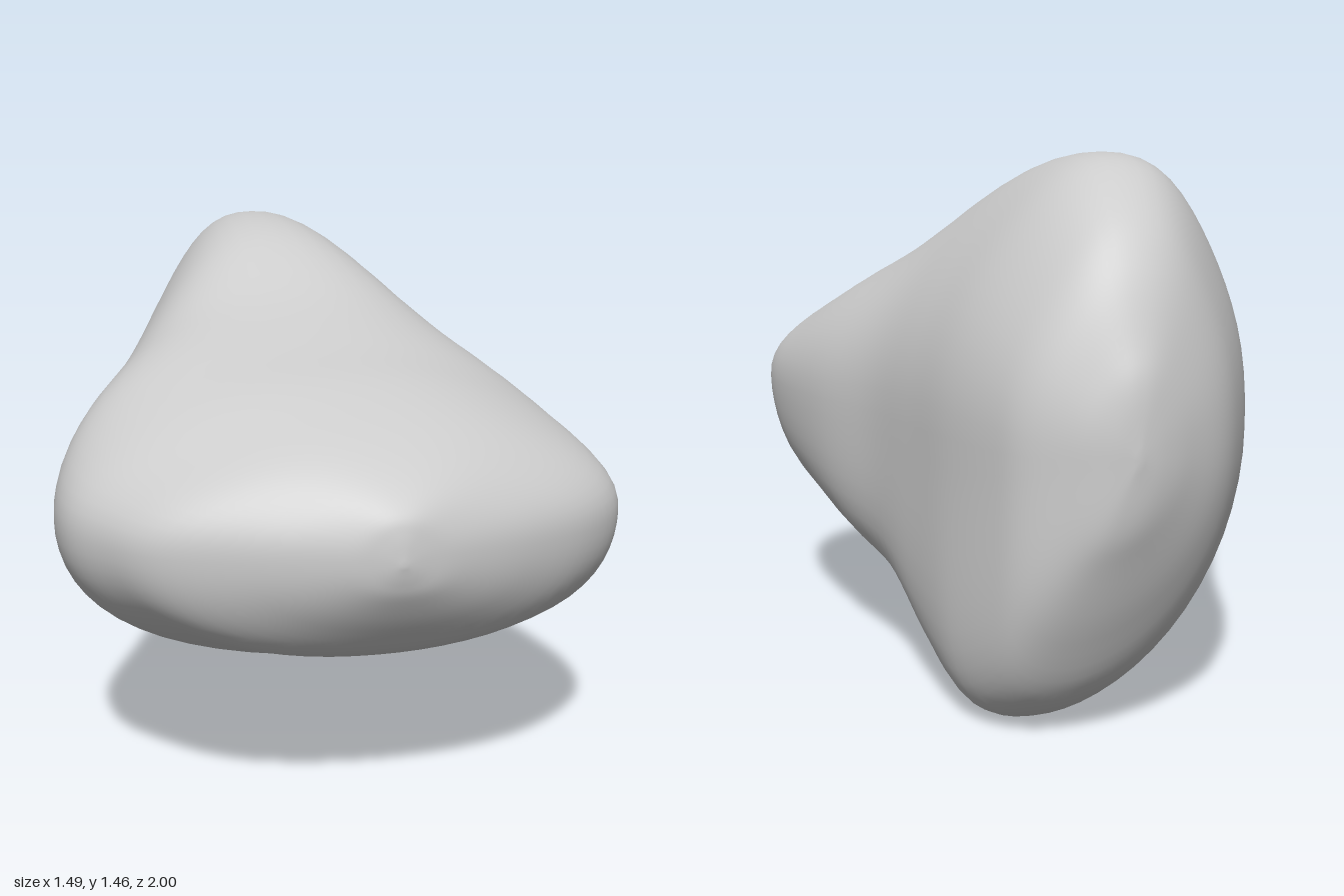
import * as THREE from 'three';
import { mergeVertices } from 'three/addons/utils/BufferGeometryUtils.js';

// Stone extents along its depth: [z, xMin, xMax, yMin, yMax]
const SECTIONS = [
  [-1.00, 0.04, 0.04, 0.75, 0.75],
  [-0.985, -0.03, 0.11, 0.59, 0.91],
  [-0.95, -0.11, 0.19, 0.47, 1.02],
  [-0.88, -0.22, 0.29, 0.28, 1.19],
  [-0.78, -0.30, 0.35, 0.10, 1.32],
  [-0.60, -0.395, 0.42, 0.00, 1.435],
  [-0.38, -0.465, 0.475, 0.05, 1.455],
  [-0.15, -0.54, 0.54, 0.165, 1.405],
  [0.10, -0.635, 0.65, 0.235, 1.265],
  [0.35, -0.735, 0.72, 0.31, 1.17],
  [0.55, -0.73, 0.74, 0.37, 1.11],
  [0.70, -0.64, 0.70, 0.42, 1.05],
  [0.82, -0.52, 0.57, 0.465, 0.99],
  [0.91, -0.31, 0.38, 0.56, 0.93],
  [0.97, -0.12, 0.19, 0.65, 0.87],
  [0.99, -0.03, 0.09, 0.70, 0.82],
  [1.00, 0.03, 0.03, 0.75, 0.75],
];
const RINGS = 80, SIDES = 64;

function createStoneGeometry() {
  const spline = (a, b) => new THREE.CatmullRomCurve3(
    SECTIONS.map(s => new THREE.Vector3(s[0], s[a], s[b])), false, 'catmullrom', 0.5);
  const widths = spline(1, 2), heights = spline(3, 4);
  const positions = [], index = [];

  for (let i = 0; i <= RINGS; i++) {
    const w = widths.getPoint(i / RINGS), h = heights.getPoint(i / RINGS);
    const z = w.x, cx = (w.y + w.z) / 2, rx = (w.z - w.y) / 2;
    const cy = THREE.MathUtils.clamp(0.75, h.y, h.z);
    const back = 1 - THREE.MathUtils.smoothstep(z, -0.5, 0.4);
    const front = THREE.MathUtils.smoothstep(z, 0.4, 0.8);
    const shoulder = Math.exp(-(((z - 0.25) / 0.25) ** 2));
    for (let j = 0; j < SIDES; j++) {
      const a = j / SIDES * Math.PI * 2, c = Math.cos(a), s = Math.sin(a);
      // Lean upper faces with fuller shoulders midway, and a full lower left flank
      const side = 2 * Math.abs(c * s);
      const upper = -0.35 + shoulder * (c < 0 ? 0.65 : 0.2);
      const lower = c > 0 ? 0.8 * (1 - back) * (1 - front) + 0.1 : 0.1 - 0.1 * front;
      const n = 2.15 + side * (s > 0 ? upper : lower);
      const r = Math.pow(Math.pow(Math.abs(c), n) + Math.pow(Math.abs(s), n), -1 / n);
      const u = c * r, v = s * r;
      // The foot of the upright back ridge leans sideways
      const lean = back * v * v * (v < 0 ? 0.2 : -0.05) * Math.min(1, rx / 0.4);
      positions.push(cx + u * rx + lean, cy + v * (v > 0 ? h.z - cy : cy - h.y), z);
    }
  }
  for (let i = 0; i < RINGS; i++) {
    for (let j = 0; j < SIDES; j++) {
      const k = (j + 1) % SIDES;
      const a = i * SIDES + j, b = i * SIDES + k, c = b + SIDES, d = a + SIDES;
      // The first and last rings shrink to points, leaving one triangle per side
      if (i < RINGS - 1) index.push(a, c, d);
      if (i > 0) index.push(a, b, c);
    }
  }
  const geometry = new THREE.BufferGeometry();
  geometry.setAttribute('position', new THREE.Float32BufferAttribute(positions, 3));
  geometry.setIndex(index);
  const welded = mergeVertices(geometry, 1e-4);
  welded.computeVertexNormals();
  return welded;
}

export function createModel() {
  const group = new THREE.Group();
  group.name = 'rock';
  const stone = new THREE.Mesh(createStoneGeometry(),
    new THREE.MeshStandardMaterial({ color: 0xcccccc }));
  stone.name = 'stone';
  group.add(stone);
  return group;
}
